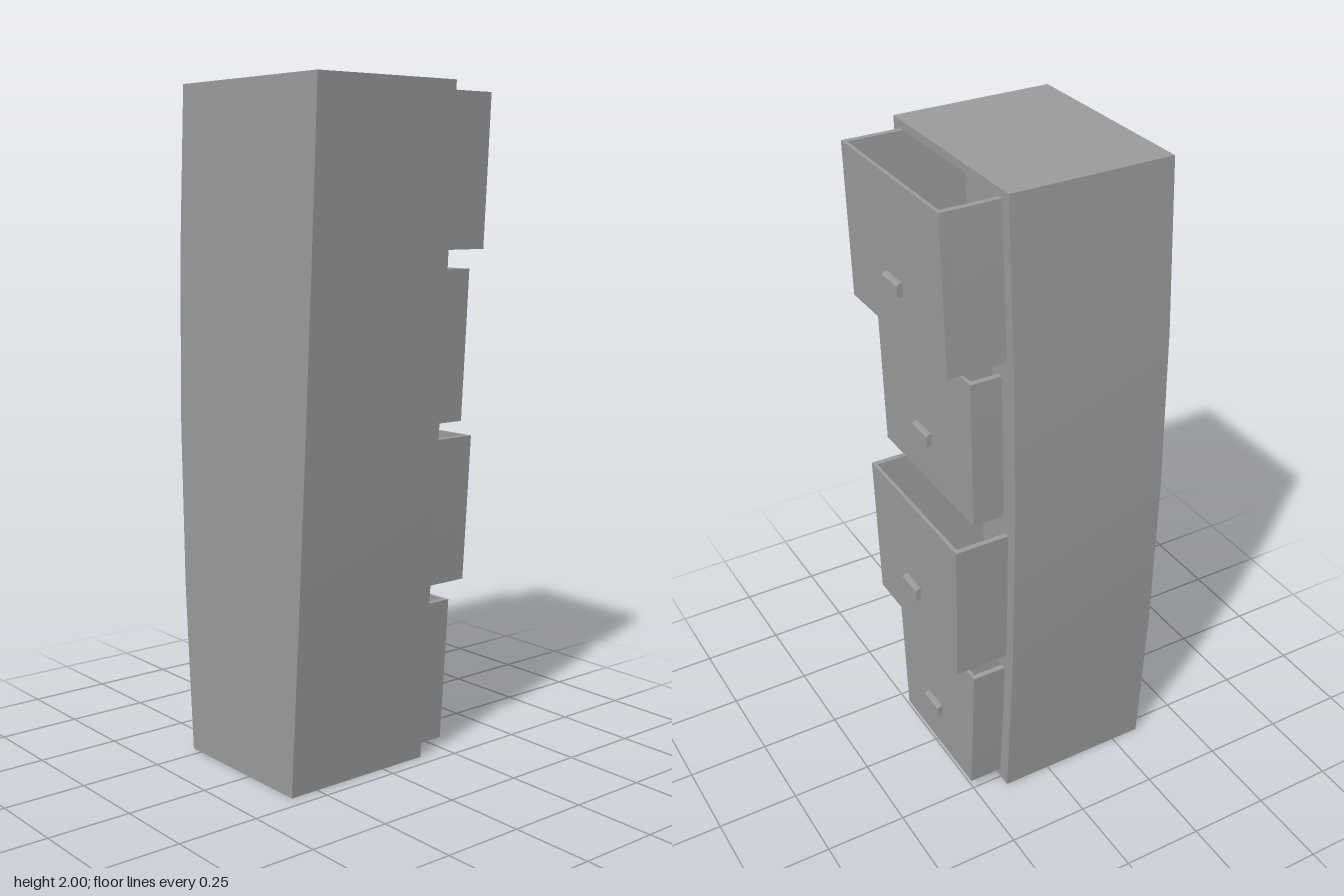
import * as THREE from 'three';
import { toCreasedNormals } from 'three/addons/utils/BufferGeometryUtils.js';

const material = new THREE.MeshStandardMaterial({ color: 0x9a9a9a });
const BACK = -0.15; // plane of the drawer openings

// Bowed, leaning side outlines of the cabinet at height y
const leftEdge = (y) => -0.33 + 0.04 * (y - 1) ** 2;
const rightEdge = (y) => 0.272 + 0.062 * (y - 1) - 0.005 * (y - 1) ** 2;

// Drawers: base height, face depth, sideways shift, handle position
const drawers = [
  { base: 0, face: -0.256, shift: 0.008, handleX: -0.018 },
  { base: 0.5, face: -0.316, shift: 0.002, handleX: -0.02 },
  { base: 1, face: -0.246, shift: 0.027, handleX: 0.017 },
  { base: 1.5, face: -0.326, shift: -0.001, handleX: -0.001 },
].map((d) => ({
  ...d,
  y0: d.base + 0.03,
  y1: d.base + 0.476,
  left: (y, inset = 0) => leftEdge(y) + 0.037 + d.shift + inset,
  right: (y, inset = 0) => rightEdge(y) - 0.037 + d.shift - inset,
}));

// Box whose sides follow two edge functions of height
function bentBox(name, xMin, xMax, y0, y1, z0, z1, rows, openBack = false) {
  const box = new THREE.BoxGeometry(1, y1 - y0, z1 - z0, 1, rows, 1);
  box.translate(0.5, (y0 + y1) / 2, (z0 + z1) / 2);
  const p = box.attributes.position;
  for (let i = 0; i < p.count; i++) {
    const y = p.getY(i);
    p.setX(i, THREE.MathUtils.lerp(xMin(y), xMax(y), p.getX(i)));
  }
  // The -z face is the last group of the box
  if (openBack) box.setIndex([...box.index.array.slice(0, box.groups[5].start)]);
  const mesh = new THREE.Mesh(toCreasedNormals(box, 0.4), material);
  mesh.name = name;
  return mesh;
}

// Closed outline running up the right edge and down the left edge
function outline(left, right, y0, y1, rows) {
  const up = Array.from({ length: rows + 1 }, (_, i) => THREE.MathUtils.lerp(y0, y1, i / rows));
  return [
    ...up.map((y) => new THREE.Vector2(right(y), y)),
    ...up.reverse().map((y) => new THREE.Vector2(left(y), y)),
  ];
}

// Flat frame around the drawer openings
function createFrame() {
  const shape = new THREE.Shape(outline(leftEdge, rightEdge, 0, 2, 4));
  for (const d of drawers) {
    shape.holes.push(new THREE.Path(outline((y) => d.left(y), (y) => d.right(y), d.y0, d.y1, 2)));
  }
  const frameMaterial = material.clone();
  frameMaterial.side = THREE.DoubleSide;
  const geometry = new THREE.ShapeGeometry(shape);
  // Reverse the winding so the frame faces -z
  geometry.setIndex([...geometry.index.array].reverse());
  geometry.computeVertexNormals();
  const mesh = new THREE.Mesh(geometry, frameMaterial);
  mesh.position.z = BACK;
  mesh.name = 'drawerFrame';
  return mesh;
}

// Pull with a chamfered outer edge, running along x and pointing to -z
function createHandle(x, y, z) {
  const profile = new THREE.Shape([
    [0, -0.02], [0.016, -0.02], [0.016, 0.013], [0.009, 0.02], [0, 0.02],
  ].map(([a, b]) => new THREE.Vector2(a, b)));
  const geometry = new THREE.ExtrudeGeometry(profile, { depth: 0.087, bevelEnabled: false });
  geometry.translate(0, 0, -0.0435).rotateY(Math.PI / 2);
  const mesh = new THREE.Mesh(geometry, material);
  mesh.position.set(x, y, z);
  mesh.name = 'drawerHandle';
  return mesh;
}

// Open-topped tray reaching into the cabinet
function createDrawer({ base, face, handleX, y0, y1, left, right }) {
  const wall = 0.017;
  const front = face + 0.011;
  const rear = face + 0.36;
  const outerL = (y) => left(y), innerL = (y) => left(y, wall);
  const outerR = (y) => right(y), innerR = (y) => right(y, wall);
  const drawer = new THREE.Group();
  drawer.name = 'drawer';
  drawer.add(
    bentBox('drawerFace', outerL, outerR, y0, y1, face, front, 2),
    bentBox('drawerSide', outerL, innerL, y0, y1, front, rear, 2),
    bentBox('drawerSide', innerR, outerR, y0, y1, front, rear, 2),
    bentBox('drawerFloor', innerL, innerR, y0, y0 + wall, front, rear, 1),
    bentBox('drawerRear', outerL, outerR, y0, y1, rear, rear + wall, 2),
    createHandle(handleX, base + 0.18, face),
  );
  return drawer;
}

export function createModel() {
  const model = new THREE.Group();
  model.name = 'filingCabinet';
  model.add(bentBox('cabinetBody', leftEdge, rightEdge, 0, 2, BACK, 0.342, 4, true));
  model.add(createFrame());
  for (const d of drawers) model.add(createDrawer(d));
  return model;
}
